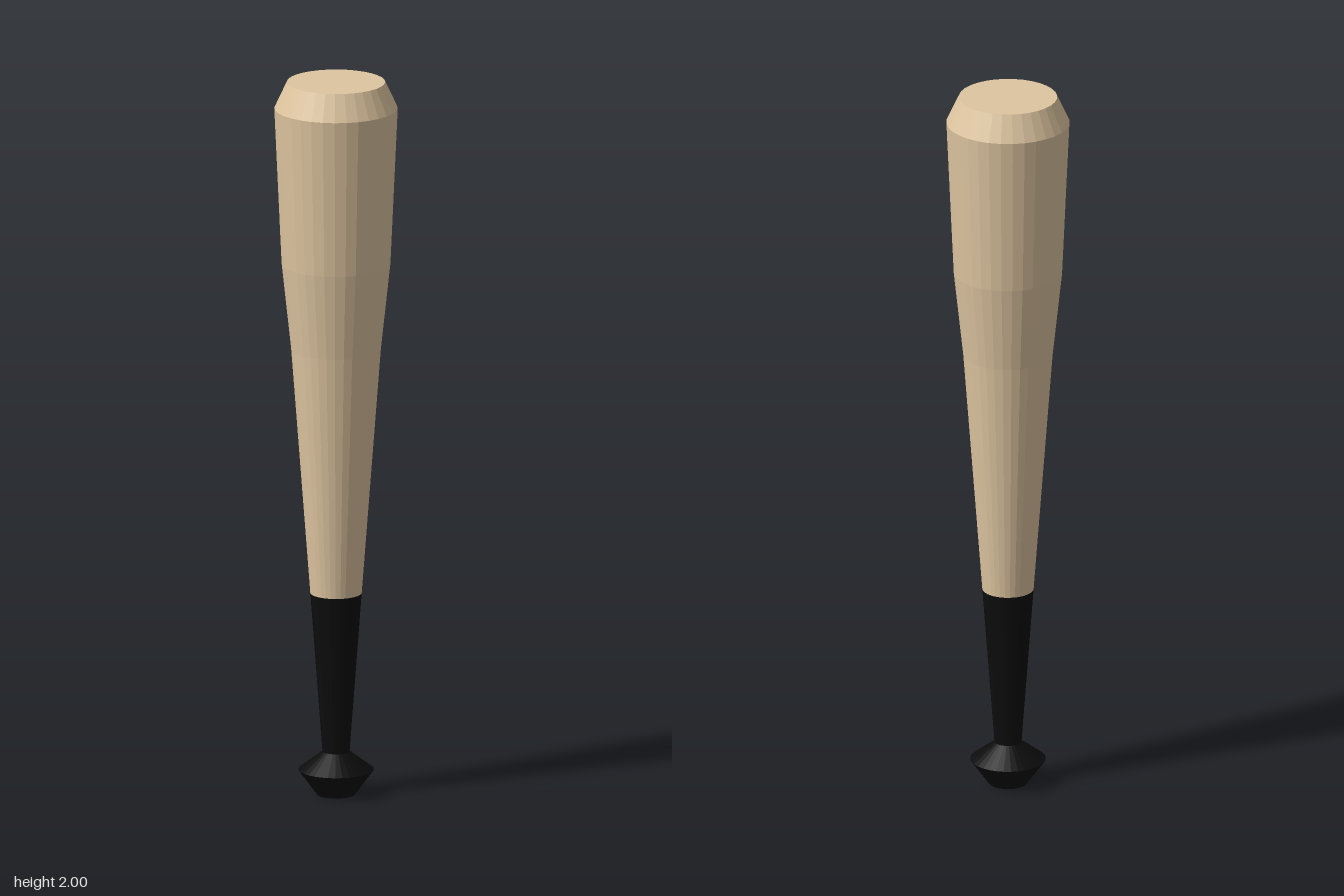
import * as THREE from 'three';

const SIDES = 32;

// Faceted turned part from [radius, height] pairs, listed bottom to top
function turned(name, color, profile) {
  const points = profile.map(([r, y]) => new THREE.Vector2(r, y));
  const material = new THREE.MeshStandardMaterial({ color, flatShading: true });
  const mesh = new THREE.Mesh(new THREE.LatheGeometry(points, SIDES), material);
  mesh.name = name;
  return mesh;
}

export function createModel() {
  const bat = new THREE.Group();
  bat.name = 'bat';

  // Knob flaring out below the grip
  bat.add(turned('knob', 0x0c0c0c, [[0, 0], [0.052, 0], [0.103, 0.07], [0.037, 0.12]]));

  // Dark grip wrap
  bat.add(turned('grip', 0x0c0c0c, [[0.037, 0.12], [0.07, 0.565]]));

  // Wooden barrel, widening to a bevelled flat end
  bat.add(turned('barrel', 0xdec5a0, [
    [0.07, 0.565], [0.122, 1.25], [0.148, 1.49], [0.168, 1.927], [0.134, 2], [0, 2],
  ]));

  return bat;
}
